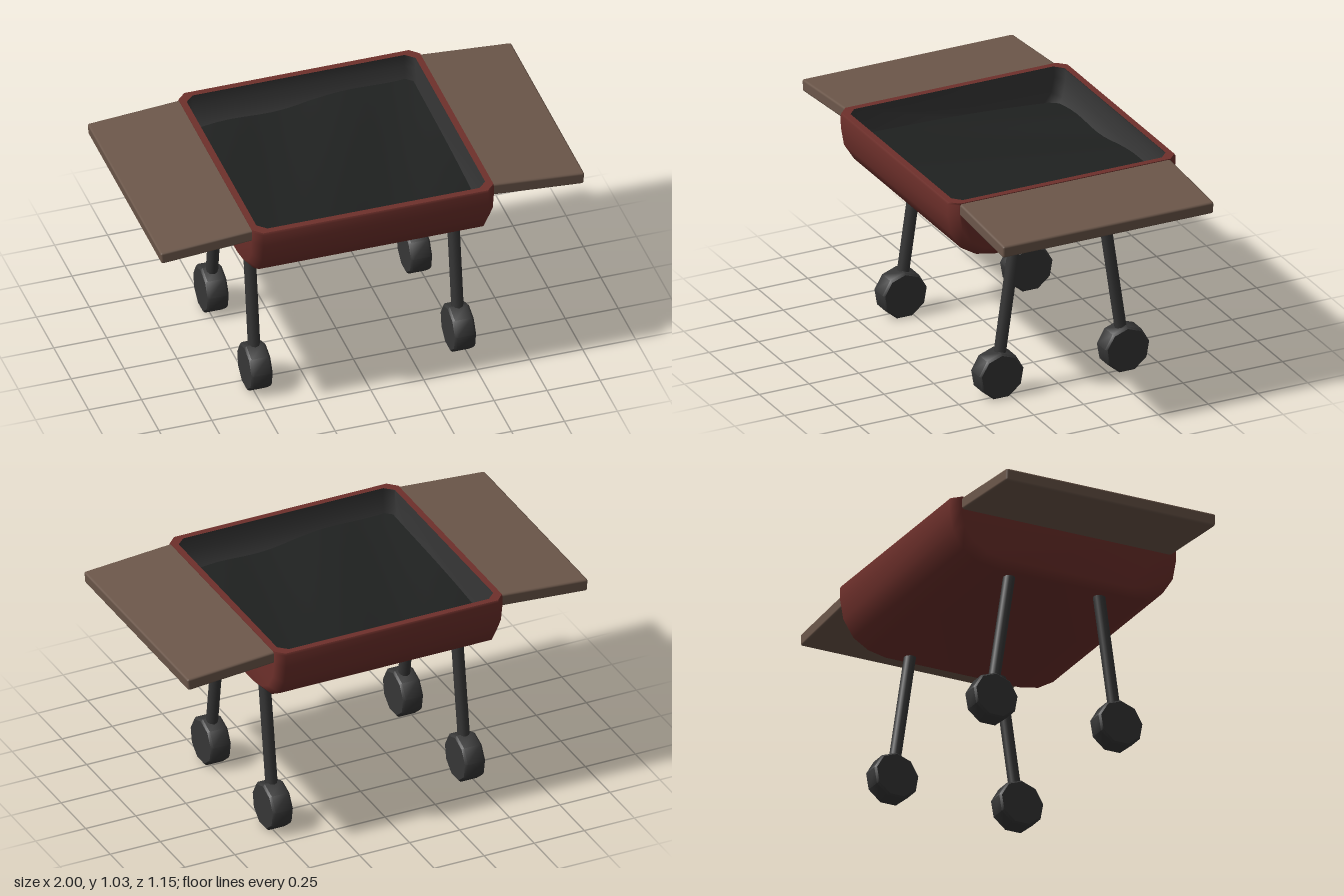
import * as THREE from 'three';
import { toCreasedNormals } from 'three/addons/utils/BufferGeometryUtils.js';
import { RoundedBoxGeometry } from 'three/addons/geometries/RoundedBoxGeometry.js';

const RIM_Y = 1.03;
const material = (color) => new THREE.MeshStandardMaterial({ color });
const red = material(0x6e302b);
const wood = material(0x6c574a);
const dark = material(0x363636);
const coal = material(0x1f2120);

function addMesh(parent, name, geometry, mat) {
  const mesh = new THREE.Mesh(geometry, mat);
  mesh.name = name;
  parent.add(mesh);
  return mesh;
}

// Half of the basin cross-section (z, y), from rim to floor
const HALF = [
  [0.568, 1.03], [0.573, 1.02], [0.572, 0.96], [0.556, 0.87],
  [0.505, 0.79], [0.43, 0.745], [0.34, 0.727],
];

// Open trough: the section swept along x, with shrunken sections chamfering both ends
function trough(offset, inward) {
  const sz = 1 - offset / 0.57, sy = 1 - offset / 0.3;
  const half = HALF.map(([z, y]) => [z * sz, RIM_Y - (RIM_Y - y) * sy]);
  const profile = [...half, ...half.map(([z, y]) => [-z, y]).reverse()];
  const n = profile.length;
  const sections = [[-0.57, true], [-0.53, false], [0.53, false], [0.57, true]];
  const positions = [], index = [];
  const tri = (a, b, c) => (inward ? index.push(a, c, b) : index.push(a, b, c));
  sections.forEach(([x, end], s) => {
    for (const [z, y] of profile) {
      const px = x - Math.sign(x) * offset;
      positions.push(px, end ? RIM_Y - (RIM_Y - y) * 0.87 : y, end ? z * 0.93 : z);
    }
    if (s === sections.length - 1) return;
    for (let p = 0; p < n - 1; p++) {
      const a = s * n + p;
      tri(a, a + 1, a + n);
      tri(a + 1, a + n + 1, a + n);
    }
  });
  // End walls
  const last = (sections.length - 1) * n;
  for (let p = 1; p < n - 1; p++) {
    tri(0, p + 1, p);
    tri(last, last + p, last + p + 1);
  }
  const g = new THREE.BufferGeometry();
  g.setAttribute('position', new THREE.Float32BufferAttribute(positions, 3));
  g.setIndex(index);
  g.computeVertexNormals();
  return g;
}

// Rectangle with cut corners, matching the top opening of a trough
function octagon(offset, Type) {
  const z = 0.568 * (1 - offset / 0.57), zc = z * 0.93;
  const x = 0.57 - offset, xc = 0.53 - offset;
  return new Type([[x, zc], [xc, z], [-xc, z], [-x, zc], [-x, -zc], [-xc, -z], [xc, -z], [x, -zc]]
    .map(([a, b]) => new THREE.Vector2(a, b)));
}

function buildBasin() {
  const basin = new THREE.Group();
  basin.name = 'basin';
  addMesh(basin, 'basinShell', trough(0, false), red);
  addMesh(basin, 'basinLining', trough(0.03, true), dark);

  // Flat rim joining shell and lining
  const shape = octagon(0, THREE.Shape);
  shape.holes.push(octagon(0.03, THREE.Path));
  const rim = new THREE.ShapeGeometry(shape).rotateX(-Math.PI / 2).translate(0, RIM_Y, 0);
  addMesh(basin, 'basinRim', rim, red);

  // Gently uneven bed filling the basin
  const bed = new THREE.PlaneGeometry(1.06, 1.06, 16, 16).rotateX(-Math.PI / 2);
  const pos = bed.attributes.position;
  for (let i = 0; i < pos.count; i++) {
    const x = pos.getX(i), z = pos.getZ(i);
    pos.setY(i, 0.885 - 0.1 * x * z + 0.008 * Math.cos(11 * x + 4 * z));
  }
  bed.computeVertexNormals();
  addMesh(basin, 'coalBed', bed, coal);
  return basin;
}

// Nine-sided wheel with a small chamfer, axle along x
function wheelGeometry() {
  const points = [[0, -0.05], [0.104, -0.05], [0.113, -0.04], [0.113, 0.04], [0.104, 0.05], [0, 0.05]]
    .map(([r, h]) => new THREE.Vector2(r, h));
  const g = new THREE.LatheGeometry(points, 9, Math.PI / 2).rotateZ(Math.PI / 2);
  return toCreasedNormals(g, 0.75);
}

// Straight round leg between two points
function legGeometry(from, to) {
  const dir = to.clone().sub(from);
  const g = new THREE.CylinderGeometry(0.028, 0.028, dir.length(), 10);
  g.applyQuaternion(new THREE.Quaternion().setFromUnitVectors(new THREE.Vector3(0, 1, 0), dir.normalize()));
  const mid = from.clone().add(to).multiplyScalar(0.5);
  return g.translate(mid.x, mid.y, mid.z);
}

export function createModel() {
  const model = new THREE.Group();
  model.name = 'grillCart';
  model.add(buildBasin());

  const wheel = wheelGeometry();
  for (const side of [1, -1]) {
    const label = side > 0 ? 'left' : 'right';

    // Side shelf sloping down and outward
    const shelf = addMesh(model, label + 'Shelf', new RoundedBoxGeometry(0.445, 0.058, 1.06, 1, 0.01), wood);
    shelf.position.set(side * 0.777, 0.982, 0);
    shelf.rotation.z = -side * 0.075;

    // Splayed legs, each ending in a wheel
    for (const [end, topZ, wheelZ] of [['Front', 0.205, 0.297], ['Back', -0.241, -0.335]]) {
      const x = side * 0.48;
      const leg = legGeometry(new THREE.Vector3(x, 0.12, wheelZ), new THREE.Vector3(x, 0.76, topZ));
      addMesh(model, label + end + 'Leg', leg, dark);
      addMesh(model, label + end + 'Wheel', wheel, dark).position.set(x, 0.107, wheelZ);
    }
  }
  return model;
}
